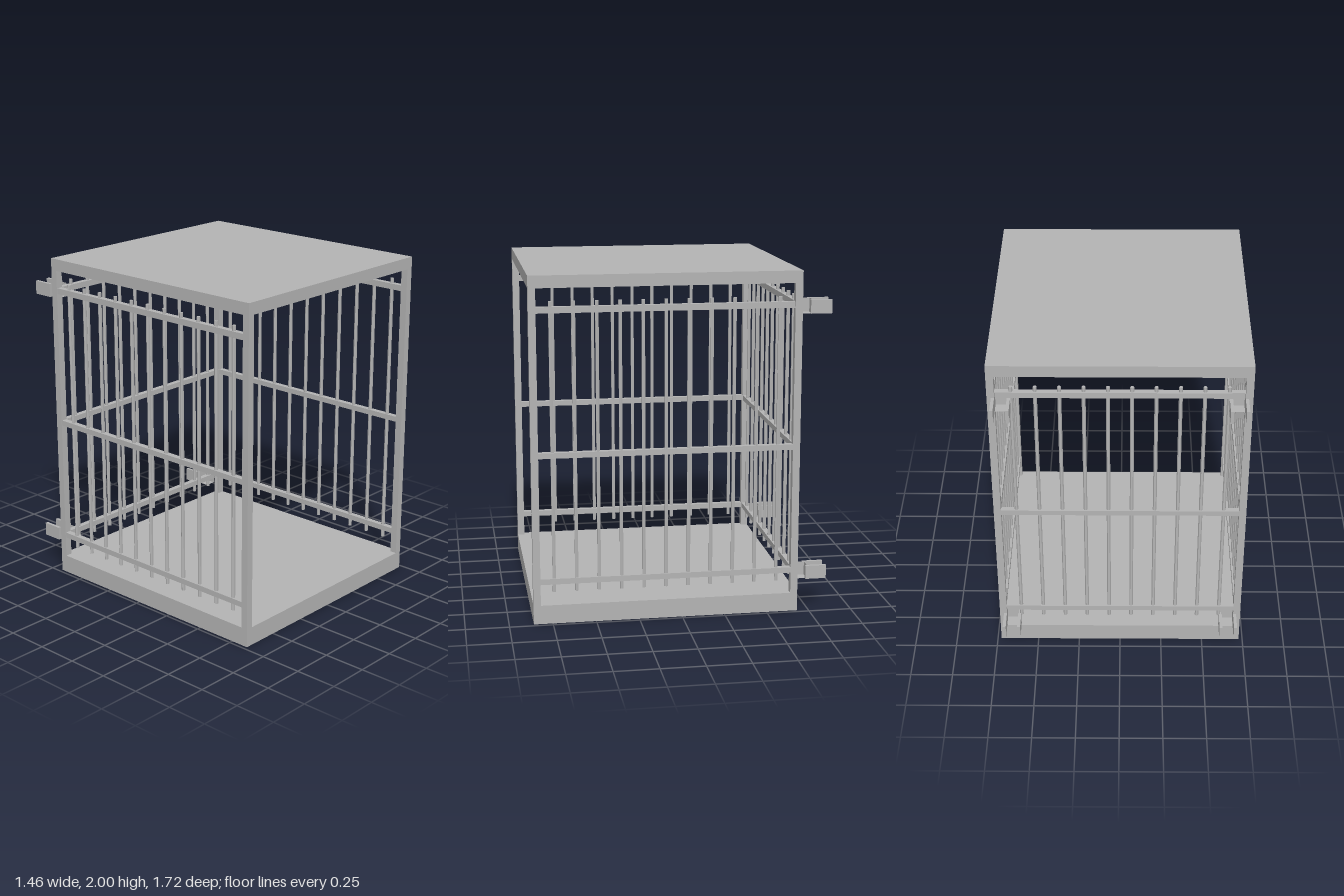
import * as THREE from 'three';

const steel = new THREE.MeshStandardMaterial({ color: 0xb4b4b4 });
steel.name = 'greySteel';

// Box given by its min and max corners
function box(name, [x0, y0, z0], [x1, y1, z1]) {
  const mesh = new THREE.Mesh(new THREE.BoxGeometry(x1 - x0, y1 - y0, z1 - z0), steel);
  mesh.position.set((x0 + x1) / 2, (y0 + y1) / 2, (z0 + z1) / 2);
  mesh.name = name;
  return mesh;
}

const X = 0.728, FRONT = 0.86, BACK = -0.682, POST = 0.042;
const FLOOR = 0.11, ROOF = 1.93;
const RAILS = [[0.232, 0.265], [0.97, 1.002], [1.79, 1.825]];
const SIDE_X = X - POST / 2, BACK_Z = BACK + POST / 2, HALF_RAIL = 0.017;

// Slim six-sided upright bar (flat sides from non-indexed normals)
const barGeometry = new THREE.CylinderGeometry(0.011, 0.011, 1.67, 6).toNonIndexed();
barGeometry.computeVertexNormals();
barGeometry.rotateY(Math.PI / 6);

function bar(x, z) {
  const mesh = new THREE.Mesh(barGeometry, steel);
  mesh.position.set(x, 1.02, z);
  mesh.name = 'bar';
  return mesh;
}

// Wall along z: three rails and eleven bars
function sideWall(name, x) {
  const wall = new THREE.Group();
  wall.name = name;
  for (const [y0, y1] of RAILS)
    wall.add(box('rail', [x - HALF_RAIL, y0, BACK + POST], [x + HALF_RAIL, y1, FRONT - POST]));
  for (let i = 0; i < 11; i++) wall.add(bar(x, 0.738 - i * 0.1294));
  return wall;
}

// Wall along x: three rails and ten bars
function backWall() {
  const wall = new THREE.Group();
  wall.name = 'backWall';
  for (const [y0, y1] of RAILS)
    wall.add(box('rail', [-X + POST, y0, BACK_Z - HALF_RAIL], [X - POST, y1, BACK_Z + HALF_RAIL]));
  for (let i = 0; i < 10; i++) wall.add(bar(-0.598 + i * 0.1328, BACK_Z));
  return wall;
}

// Rear bracket: a block holding two parallel prongs
function bracket(x, y) {
  const group = new THREE.Group();
  group.name = 'bracket';
  group.add(box('bracketBlock', [x - 0.034, y, BACK], [x + 0.034, y + 0.08, -0.748]));
  for (const s of [-1, 1]) {
    const cx = x + s * 0.043;
    group.add(box('bracketProng', [cx - 0.009, y, -0.86], [cx + 0.009, y + 0.08, -0.737]));
  }
  return group;
}

export function createModel() {
  const model = new THREE.Group();
  model.name = 'cage';
  model.add(box('floor', [-X, 0, BACK], [X, FLOOR, FRONT]));
  model.add(box('roof', [-X, ROOF, BACK], [X, 2, FRONT]));

  // Corner posts
  for (const x of [-X, X - POST])
    for (const z of [BACK, FRONT - POST])
      model.add(box('cornerPost', [x, FLOOR, z], [x + POST, ROOF, z + POST]));

  // Barred walls; the front stays open
  model.add(sideWall('leftWall', SIDE_X), sideWall('rightWall', -SIDE_X), backWall());

  for (const x of [-0.646, 0.646])
    for (const y of [0.18, 1.75]) model.add(bracket(x, y));
  return model;
}
